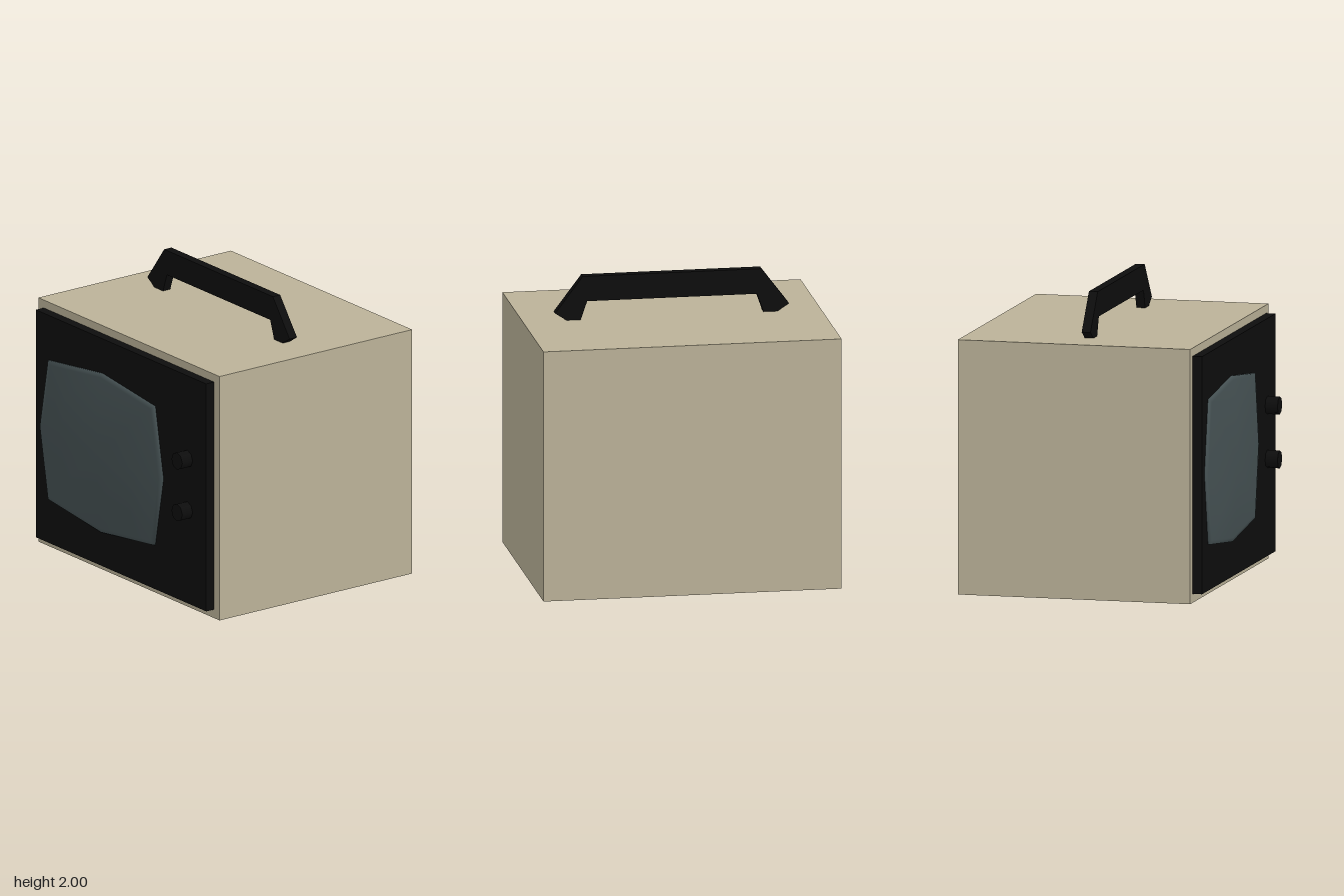
import * as THREE from 'three';

const material = (name, color, extra = {}) => {
  const m = new THREE.MeshStandardMaterial({ color, ...extra });
  m.name = name;
  return m;
};

// Shallow bulging dome: one outline, repeated at smaller scales along z
function domeGeometry(outline, rings, tipZ) {
  const n = outline.length, positions = [], index = [];
  for (const [scale, z] of rings)
    for (const [x, y] of outline) positions.push(x * scale, y * scale, z);
  positions.push(0, 0, tipZ);
  for (let r = 0; r < rings.length; r++) {
    for (let i = 0; i < n; i++) {
      const j = (i + 1) % n, a = r * n + i, b = r * n + j;
      if (r === rings.length - 1) index.push(a, b, rings.length * n);
      else index.push(a, b, b + n, a, b + n, a + n);
    }
  }
  const g = new THREE.BufferGeometry();
  g.setAttribute('position', new THREE.Float32BufferAttribute(positions, 3));
  g.setIndex(index);
  g.computeVertexNormals();
  return g;
}

export function createModel() {
  const group = new THREE.Group();
  const beige = material('beige casing', 0xbbb298);
  const black = material('black plastic', 0x0d0d0d);
  const glass = material('grey green glass', 0x465254);

  const add = (name, geometry, mat, x, y, z) => {
    const mesh = new THREE.Mesh(geometry, mat);
    mesh.name = name;
    mesh.position.set(x, y, z);
    group.add(mesh);
    return mesh;
  };

  // Casing and raised front panel
  add('casing', new THREE.BoxGeometry(2, 1.705, 1.59), beige, 0, 0.8525, -0.075);
  add('frontPanel', new THREE.BoxGeometry(1.88, 1.59, 0.07), black, 0, 0.855, 0.75);

  // Bulging eight-cornered screen
  const outline = [
    [0.675, 0], [0.585, 0.485], [0, 0.555], [-0.585, 0.485],
    [-0.675, 0], [-0.585, -0.485], [0, -0.555], [0.585, -0.485],
  ];
  const rings = [[1, 0.78], [1, 0.797], [0.95, 0.804], [0.62, 0.822], [0.3, 0.829]];
  add('screen', domeGeometry(outline, rings, 0.831), glass, -0.205, 0.855, 0);

  // Tuning knobs
  const knob = new THREE.CylinderGeometry(0.06, 0.06, 0.09, 8).rotateX(Math.PI / 2);
  for (const [name, y] of [['upperKnob', 1.07], ['lowerKnob', 0.71]])
    add(name, knob, black, 0.73, y, 0.825);

  // Flat carrying handle with splayed feet
  const half = [[0.57, 1.83], [0.615, 1.70], [0.70, 1.70], [0.785, 1.755], [0.60, 2.0]];
  const mirrored = half.map(([x, y]) => [-x, y]).reverse();
  const shape = new THREE.Shape([...half, ...mirrored].map(([x, y]) => new THREE.Vector2(x, y)));
  const handle = new THREE.ExtrudeGeometry(shape, { depth: 0.06, bevelEnabled: false });
  add('handle', handle, black, 0, 0, -0.08);

  return group;
}
